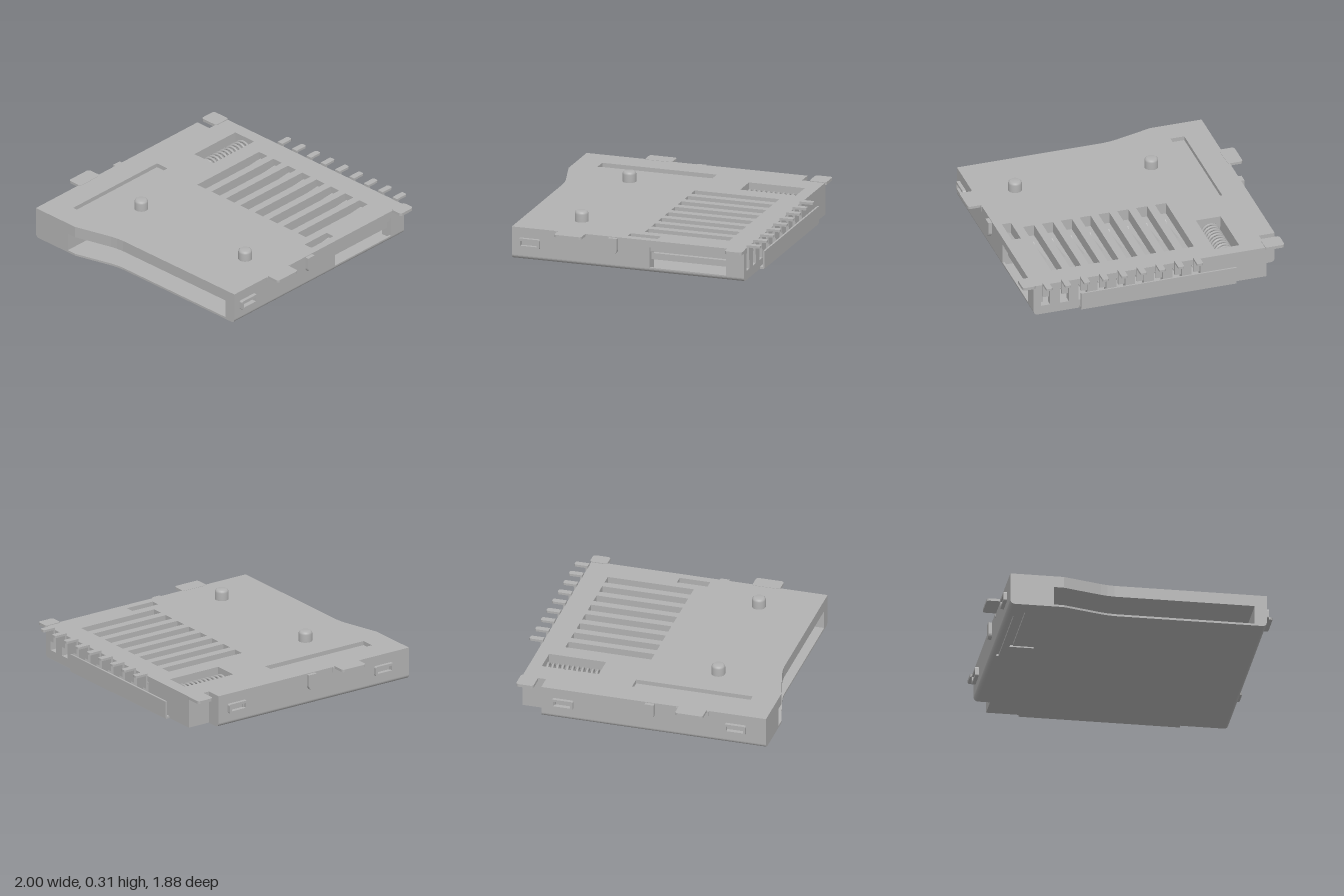
import * as THREE from 'three';

const grey = new THREE.MeshStandardMaterial({ color: 0xb2b2b2 });
grey.name = 'grey';

const poly = (pts) => new THREE.Shape(pts.map(([a, b]) => new THREE.Vector2(a, b)));
const rect = (a0, a1, b0, b1) => poly([[a0, b0], [a1, b0], [a1, b1], [a0, b1]]);
const cut = (shape, holes) => { shape.holes.push(...holes); return shape; };

// rectangle with rounded corners
function roundRect(a0, a1, b0, b1, r) {
  const s = new THREE.Shape();
  s.absarc(a1 - r, b0 + r, r, -Math.PI / 2, 0);
  s.absarc(a1 - r, b1 - r, r, 0, Math.PI / 2);
  s.absarc(a0 + r, b1 - r, r, Math.PI / 2, Math.PI);
  s.absarc(a0 + r, b0 + r, r, Math.PI, Math.PI * 1.5);
  return s;
}

const extrude = (shape, depth) =>
  new THREE.ExtrudeGeometry(shape, { depth, bevelEnabled: false, curveSegments: 6 });

// outline drawn in (x, z), thick in y
const slab = (shape, y0, y1) => extrude(shape, y1 - y0).rotateX(Math.PI / 2).translate(0, y1, 0);
// outline drawn in (z, y), thick in x
const sidePlate = (shape, x0, x1) => extrude(shape, x1 - x0).rotateY(-Math.PI / 2).translate(x1, 0, 0);
// outline drawn in (x, y), thick in z
const wall = (shape, z0, z1) => extrude(shape, z1 - z0).translate(0, 0, z0);
const box = (x0, x1, y0, y1, z0, z1) =>
  new THREE.BoxGeometry(x1 - x0, y1 - y0, z1 - z0).translate((x0 + x1) / 2, (y0 + y1) / 2, (z0 + z1) / 2);

// plan of the socket: notched rear corner and stepped front edge
const plan = (half, back) => poly([
  [-half, -0.68], [-0.79, -0.68], [-0.79, back], [half, back], [half, 0.85],
  [-0.16, 0.85], [-0.21, 0.855], [-0.26, 0.865], [-0.53, 0.94], [-half, 0.94],
]);

export function createModel() {
  const model = new THREE.Group();
  const add = (name, geometry, parent = model) => {
    const mesh = new THREE.Mesh(geometry, grey);
    mesh.name = name;
    parent.add(mesh);
    return mesh;
  };
  const group = (name) => {
    const g = new THREE.Group();
    g.name = name;
    model.add(g);
    return g;
  };
  const leadX = Array.from({ length: 9 }, (_, i) => -0.277 + i * 0.137);

  // top cover with contact slots, spring window and guide groove
  const slots = () => [
    ...leadX.slice(0, 8).map((x) => rect(x - 0.04, x + 0.04, -0.68, -0.06)),
    rect(-0.62, -0.44, -0.76, -0.35),
    rect(0.785, 0.85, -0.2, 0.02),
  ];
  add('coverLower', slab(cut(plan(0.89, -0.8), slots()), 0.148, 0.2));
  add('coverUpper', slab(cut(plan(0.89, -0.8), [...slots(), rect(-0.72, -0.62, -0.08, 0.76)]), 0.2, 0.23));

  // housing around the card cavity
  add('leftBlock', slab(poly([
    [-0.89, -0.68], [-0.79, -0.68], [-0.79, -0.8], [-0.63, -0.8], [-0.63, -0.3],
    [-0.6, -0.3], [-0.6, 0.94], [-0.89, 0.94],
  ]), 0.015, 0.148));
  add('rightWallFront', box(0.82, 0.89, 0.015, 0.148, -0.16, 0.85));
  add('rightWallRear', box(0.82, 0.89, 0.015, 0.148, -0.8, -0.72));
  add('backWall', wall(cut(rect(-0.79, 0.89, 0.015, 0.23),
    leadX.map((x) => rect(x - 0.033, x + 0.033, 0.065, 0.19))), -0.85, -0.8));

  // sheet metal shell: floor with spring slits, rounded folds, side plates
  add('floor', slab(cut(plan(0.875, -0.85), [
    rect(-0.868, -0.85, 0.08, 0.74),
    poly([[-0.8, 0.24], [-0.63, 0.24], [-0.63, 0.26], [-0.78, 0.26], [-0.78, 0.81], [-0.8, 0.81]]),
  ]), 0, 0.015));
  for (const [side, z0, z1] of [[1, -0.85, 0.85], [-1, -0.68, 0.94]]) {
    const a = side > 0 ? -Math.PI / 2 : Math.PI;
    const fold = new THREE.Shape();
    fold.absarc(side * 0.875, 0.03, 0.03, a, a + Math.PI / 2, false);
    fold.absarc(side * 0.875, 0.03, 0.015, a + Math.PI / 2, a, true);
    add('shellFold', wall(fold, z0, z1));
    const openings = [rect(0.655, 0.78, 0.1, 0.145)];
    if (side > 0) openings.push(rect(-0.72, -0.16, 0.035, 0.18));
    else openings.push(rect(-0.58, -0.47, 0.1, 0.145));
    const x = side > 0 ? 0.89 : -0.905;
    add('shellSide', sidePlate(cut(rect(z0, z1, 0.03, 0.23), openings), x, x + 0.015));
  }
  add('backPlate', box(-0.56, 0.57, 0.01, 0.13, -0.885, -0.872));
  add('backPlateFold', box(-0.56, 0.57, 0, 0.015, -0.88, -0.85));

  // raised window frames, snap tongues and solder tabs on the sides
  const sideParts = group('sideFittings');
  const frame = (side, z) => {
    const x = side > 0 ? 0.905 : -0.93;
    add('windowFrame', sidePlate(cut(roundRect(z - 0.077, z + 0.077, 0.088, 0.157, 0.012),
      [rect(z - 0.06, z + 0.06, 0.105, 0.14)]), x, x + 0.025), sideParts);
  };
  for (const side of [1, -1]) {
    frame(side, 0.72);
    const tongue = new THREE.Shape();
    tongue.moveTo(0.138, 0.225);
    tongue.lineTo(0.072, 0.225);
    tongue.lineTo(0.072, 0.143);
    tongue.absarc(0.105, 0.143, 0.033, Math.PI, Math.PI * 2);
    const x = side > 0 ? 0.905 : -0.932;
    add('snapTongue', sidePlate(tongue, x, x + 0.027), sideParts);
    const [t0, t1] = side > 0 ? [0.89, 1] : [-1, -0.89];
    add('sideTab', slab(roundRect(t0, t1, 0.31, 0.51, 0.02), 0.214, 0.232), sideParts);
    const [c0, c1] = side > 0 ? [0.89, 0.985] : [-0.92, -0.78];
    add('rearTab', slab(roundRect(c0, c1, -0.86, -0.735, 0.02), 0.214, 0.235), sideParts);
    for (const z of [0.3, 0.52])
      add('tabRelief', box(side * 0.906 - 0.004, side * 0.906 + 0.004, 0.19, 0.225, z - 0.008, z + 0.008), sideParts);
  }
  frame(-1, -0.525);

  // locating pegs
  for (const x of [-0.375, 0.617]) {
    const profile = [[0.048, 0.225], [0.048, 0.285], [0.044, 0.297], [0.034, 0.305], [0, 0.305]];
    add('locatingPeg', new THREE.LatheGeometry(profile.map(([r, y]) => new THREE.Vector2(r, y)), 28)
      .translate(x, 0, 0.44));
  }

  // contacts: rear lead bent over the edge and a sloping spring beam in each slot
  const contacts = group('contacts');
  leadX.forEach((x, i) => {
    add('solderLead', slab(roundRect(x - 0.022, x + 0.022, -0.945, -0.85, 0.012), 0.232, 0.248), contacts);
    add('leadStem', box(x - 0.022, x + 0.022, 0.14, 0.248, -0.864, -0.848), contacts);
    if (i === 8) return;
    add('beamRear', sidePlate(poly([
      [-0.85, 0.17], [-0.68, 0.17], [-0.42, 0.145], [-0.42, 0.157], [-0.68, 0.183], [-0.85, 0.183],
    ]), x - 0.028, x + 0.028), contacts);
    add('beamTip', sidePlate(poly([
      [-0.42, 0.145], [-0.17, 0.105], [-0.14, 0.105], [-0.115, 0.13], [-0.125, 0.138],
      [-0.148, 0.118], [-0.17, 0.118], [-0.42, 0.157],
    ]), x - 0.018, x + 0.018), contacts);
  });
  add('sideContactStrip', box(0.85, 0.865, 0.085, 0.13, -0.72, -0.16), contacts);
  add('switchContact', sidePlate(poly([
    [-0.2, 0.19], [0.0, 0.155], [0.0, 0.167], [-0.2, 0.202],
  ]), 0.803, 0.835), contacts);

  // eject spring lying along z
  class Helix extends THREE.Curve {
    getPoint(t, target = new THREE.Vector3()) {
      const a = t * Math.PI * 2 * 11;
      return target.set(-0.53 + 0.062 * Math.cos(a), 0.14 + 0.062 * Math.sin(a), -0.75 + 0.39 * t);
    }
  }
  add('ejectSpring', new THREE.TubeGeometry(new Helix(), 264, 0.01, 6));

  return model;
}
